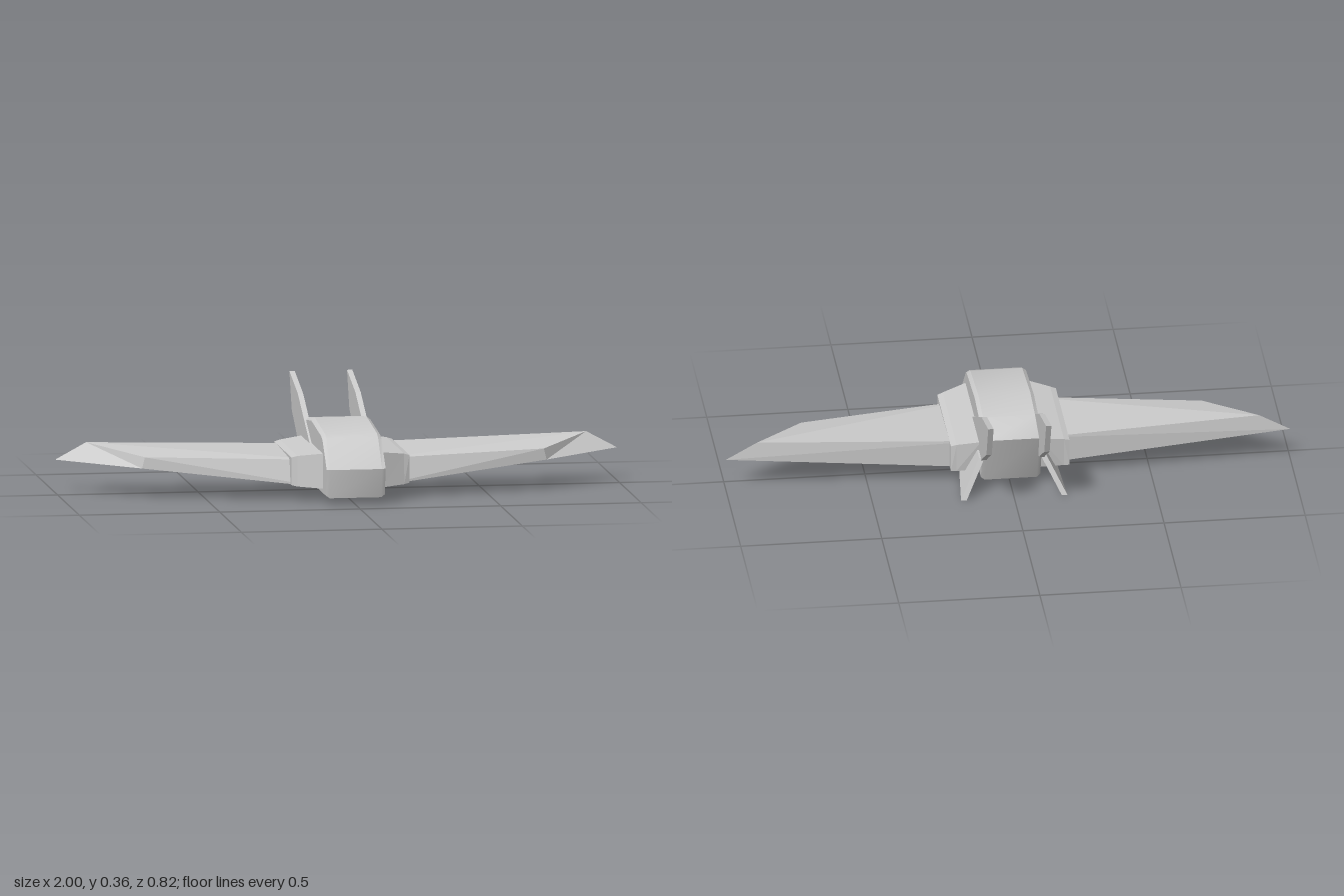
import * as THREE from 'three';
import { toCreasedNormals } from 'three/addons/utils/BufferGeometryUtils.js';

const material = new THREE.MeshStandardMaterial({ color: 0xcccccc });

// Skin a solid through matching rings of [x, y, z] corners and cap both ends.
function loft(rings, side = 1) {
  const tris = [];
  const n = rings[0].length;
  const v = rings.map(r => r.map(([x, y, z]) => new THREE.Vector3(x * side, y, z)));
  for (let i = 0; i < v.length - 1; i++) {
    for (let j = 0; j < n; j++) {
      const k = (j + 1) % n;
      tris.push([v[i][j], v[i + 1][k], v[i][k]], [v[i][j], v[i + 1][j], v[i + 1][k]]);
    }
  }
  // ring edge j -> k is walked forwards by the first cap and backwards by the last
  const cap = (ring, flip) => {
    const flat = ring.map(p => new THREE.Vector2(p.z, p.y));
    const cw = THREE.ShapeUtils.isClockWise(flat);
    const order = ring.map((_, i) => (cw ? n - 1 - i : i));
    for (const f of THREE.ShapeUtils.triangulateShape(order.map(i => flat[i]), [])) {
      const t = f.map(i => ring[order[i]]);
      tris.push(cw !== flip ? t.reverse() : t);
    }
  };
  cap(v[0], false);
  cap(v[v.length - 1], true);
  // make every face point outwards
  const cross = new THREE.Vector3();
  const volume = tris.reduce((s, [a, b, c]) => s + a.dot(cross.crossVectors(b, c)), 0);
  if (volume < 0) tris.forEach(t => t.reverse());
  const geometry = new THREE.BufferGeometry().setFromPoints(tris.flat());
  geometry.computeVertexNormals();
  return geometry;
}

// Place a [z, y] profile at a given x (number or function of y).
const ringAt = (profile, x) =>
  profile.map(([z, y]) => [typeof x === 'function' ? x(y) : x, y, z]);

export function createModel() {
  const model = new THREE.Group();
  const add = (name, geometry) => {
    const mesh = new THREE.Mesh(geometry, material);
    mesh.name = name;
    model.add(mesh);
  };

  // Fuselage: side profile with chamfered flanks
  const hull = [[0.39, 0.027], [0.41, 0.13], [0.315, 0.228], [0.285, 0.24],
    [0.05, 0.265], [-0.09, 0.247], [-0.21, 0.215], [-0.14, 0.027]];
  const inset = hull.map(([z, y]) => [0.1 + (z - 0.1) * 0.985, 0.14 + (y - 0.14) * 0.92]);
  add('fuselage', toCreasedNormals(loft([
    ringAt(inset, -0.105), ringAt(hull, -0.092), ringAt(hull, 0.092), ringAt(inset, 0.105),
  ]), 0.5));

  // Profiles of the paired parts
  const podInner = [[0.325, 0.052], [0.32, 0.176], [-0.14, 0.176], [-0.125, 0.058]];
  const podEdge = [[0.285, 0.056], [0.28, 0.164], [-0.128, 0.164], [-0.125, 0.06]];
  const podOuter = [[0.275, 0.06], [0.275, 0.158], [-0.125, 0.158], [-0.125, 0.06]];
  const tailFin = [[0.12, 0.14], [0.06, 0.175], [-0.09, 0.25], [-0.215, 0.313],
    [-0.41, 0.365], [-0.355, 0.235], [-0.25, 0.17], [-0.2, 0.135]];
  const lowerFin = [[-0.01, 0.042], [-0.01, 0.052], [-0.03, 0.143],
    [-0.195, 0.143], [-0.245, 0.003]];

  for (const [side, label] of [[1, 'left'], [-1, 'right']]) {
    // Tapered pod joining wing and fuselage
    add(label + 'WingPod', loft([
      ringAt(podInner, 0.09), ringAt(podInner, 0.105), ringAt(podEdge, 0.19), ringAt(podOuter, 0.21),
    ], side));

    // Swept wing, its end cap forming the slanted tip
    add(label + 'Wing', loft([
      [[0.1, 0.05, 0.275], [0.1, 0.144, 0.25], [0.1, 0.155, -0.09], [0.1, 0.05, -0.087]],
      [[0.72, 0.11, 0.133], [0.71, 0.15, 0.135], [0.89, 0.18, -0.058], [1, 0.12, -0.06]],
    ], side));

    // Upright tail fin along the fuselage flank
    add(label + 'TailFin', loft([ringAt(tailFin, 0.093), ringAt(tailFin, 0.112)], side));

    // Splayed fin under the tail
    add(label + 'LowerFin', loft([
      ringAt(lowerFin, y => 0.17 - 0.5 * y), ringAt(lowerFin, y => 0.19 - 0.5 * y),
    ], side));
  }
  return model;
}
